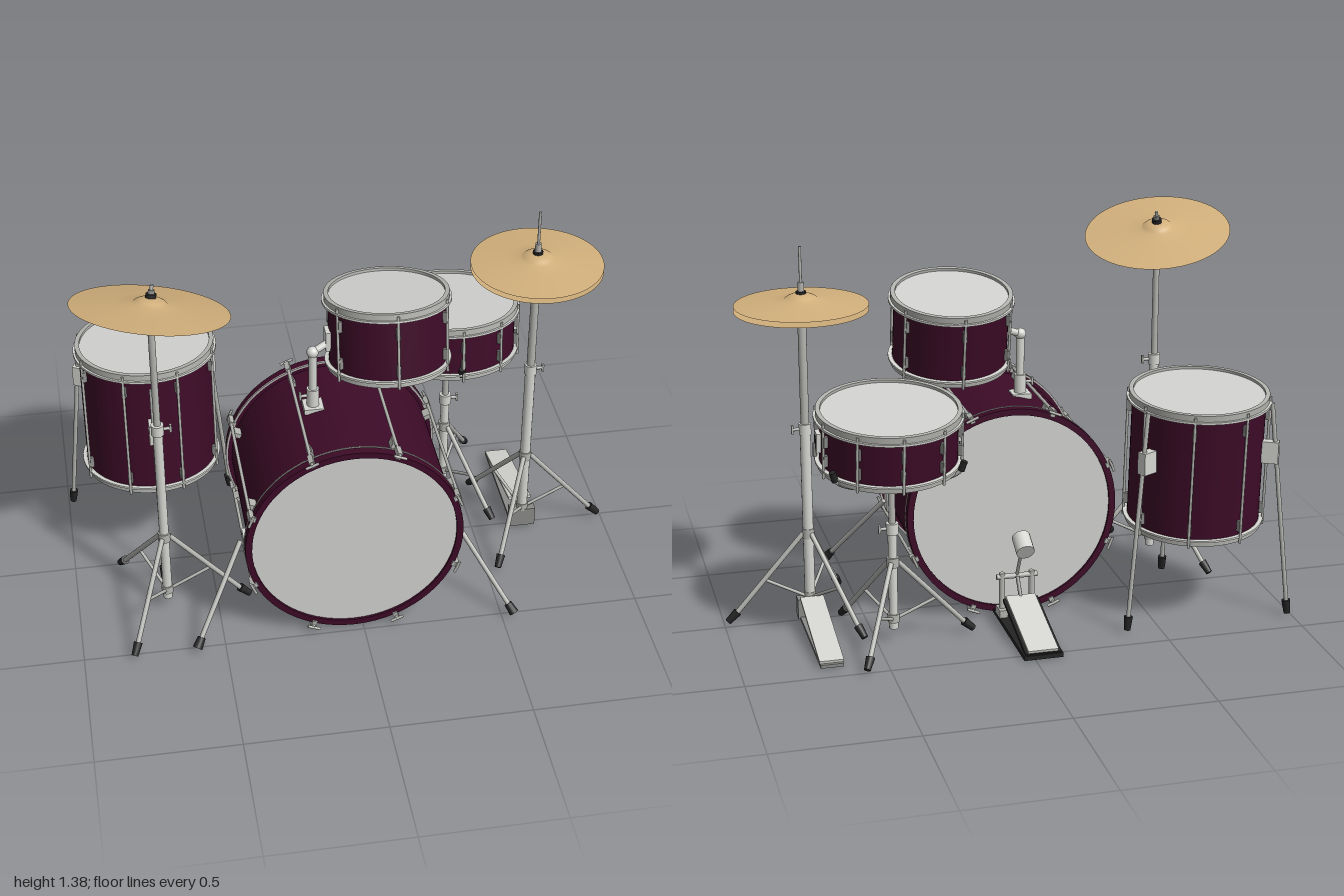
import * as THREE from 'three';

const mat = (name, color, side = THREE.FrontSide) => {
  const m = new THREE.MeshStandardMaterial({ color, side });
  m.name = name;
  return m;
};
const V = (x, y, z) => new THREE.Vector3(x, y, z);
const UP = V(0, 1, 0);

export function createModel() {
  const wine = mat('wine lacquer', 0x3d0b27);
  const skin = mat('drum skin', 0xd2d2d0);
  const chrome = mat('chrome', 0xb4b4b0);
  const steel = mat('dark steel', 0x8a8a88);
  const light = mat('pale metal', 0xd6d6d2);
  const brass = mat('cymbal bronze', 0xd2b07c, THREE.DoubleSide);
  const rubber = mat('black rubber', 0x242424);

  const model = new THREE.Group();
  model.name = 'drumKit';
  const group = (name, parent = model) => {
    const g = new THREE.Group();
    g.name = name;
    parent.add(g);
    return g;
  };
  const add = (parent, name, geo, m, x = 0, y = 0, z = 0) => {
    const mesh = new THREE.Mesh(geo, m);
    mesh.name = name;
    mesh.position.set(x, y, z);
    parent.add(mesh);
    return mesh;
  };
  const box = (p, name, w, h, d, m, x, y, z) => add(p, name, new THREE.BoxGeometry(w, h, d), m, x, y, z);
  // Round bar between two points
  const rod = (p, name, a, b, r, m, r2 = r) => {
    const dir = b.clone().sub(a);
    const mesh = add(p, name, new THREE.CylinderGeometry(r2, r, dir.length(), 14), m);
    mesh.position.copy(a).addScaledVector(dir, 0.5);
    mesh.quaternion.setFromUnitVectors(UP, dir.normalize());
    return mesh;
  };
  const pole = (p, name, y0, y1, r, m = chrome) => rod(p, name, V(0, y0, 0), V(0, y1, 0), r, m);
  // Square-section ring around y
  const ring = (p, name, ri, ro, y0, y1, m) => add(p, name, new THREE.LatheGeometry(
    [[ri, y0], [ro, y0], [ro, y0], [ro, y1], [ro, y1], [ri, y1], [ri, y1], [ri, y0]].map(q => new THREE.Vector2(...q)), 64), m);
  const polar = (r, a, y) => V(r * Math.cos(a), y, r * Math.sin(a));

  // Upright drum, from y = 0 to y = H, with tension rods
  function drum(name, R, H, n, phase) {
    const g = group(name);
    add(g, 'shell', new THREE.CylinderGeometry(R, R, H - 0.02, 64, 1, true), wine, 0, H / 2, 0);
    add(g, 'topHead', new THREE.CylinderGeometry(R + 0.004, R + 0.004, 0.01, 64), skin, 0, H - 0.015, 0);
    add(g, 'bottomHead', new THREE.CylinderGeometry(R, R, 0.01, 64), skin, 0, 0.009, 0);
    ring(g, 'topHoop', R - 0.004, R + 0.012, H - 0.03, H, chrome);
    ring(g, 'topHoopFlange', R + 0.005, R + 0.02, H - 0.03, H - 0.022, light);
    ring(g, 'bottomHoop', R - 0.004, R + 0.008, 0, 0.024, chrome);
    ring(g, 'bottomHoopFlange', R + 0.004, R + 0.016, 0.018, 0.025, light);
    for (let i = 0; i < n; i++) {
      const a = phase + i * 2 * Math.PI / n;
      rod(g, 'tensionRod', polar(R + 0.014, a, -0.004), polar(R + 0.014, a, H - 0.008), 0.005, chrome);
      for (const y of [0.06, H - 0.075]) {
        const lug = box(g, 'lug', 0.018, 0.04, 0.014, steel, 0, 0, 0);
        lug.position.copy(polar(R + 0.006, a, y));
        lug.rotation.y = -a;
      }
    }
    return g;
  }

  // Three braced legs with rubber feet around a pole
  function tripod(g, r, apex, phase) {
    add(g, 'legHub', new THREE.CylinderGeometry(0.022, 0.022, 0.035, 20), chrome, 0, apex, 0);
    add(g, 'braceHub', new THREE.CylinderGeometry(0.021, 0.021, 0.03, 20), chrome, 0, 0.09, 0);
    for (let i = 0; i < 3; i++) {
      const a = phase + i * 2 * Math.PI / 3;
      const top = polar(0.018, a, apex), foot = polar(r, a, 0.02);
      rod(g, 'leg', top, foot, 0.009, chrome);
      rod(g, 'legBrace', polar(0.018, a, 0.09), top.clone().lerp(foot, 0.53), 0.006, chrome);
      rod(g, 'foot', top.clone().lerp(foot, 0.9), polar(r + 0.008, a, 0.017), 0.016, rubber, 0.012);
    }
  }
  const wingNut = (g, y, side) => {
    add(g, 'collar', new THREE.CylinderGeometry(0.022, 0.022, 0.04, 20), light, 0, y, 0);
    rod(g, 'wingBolt', V(0, y, 0), V(side * 0.045, y, 0), 0.006, chrome);
    box(g, 'wingNut', 0.008, 0.03, 0.012, chrome, side * 0.045, y, 0);
  };
  const cymbal = (p, name, R, h, bell) => add(p, name, new THREE.LatheGeometry(
    [[R, 0], [R * 0.75, h * 0.17], [R * 0.45, h * 0.36], [bell, h * 0.5], [bell * 0.82, h * 0.72], [bell * 0.5, h * 0.93], [0.004, h]]
      .map(q => new THREE.Vector2(...q)), 64), brass);

  // Bass drum, lying along z
  const bass = group('bassDrum');
  bass.position.set(-0.03, 0.387, -0.115);
  bass.rotation.x = Math.PI / 2;
  const L = 0.588;
  add(bass, 'bassShell', new THREE.CylinderGeometry(0.365, 0.365, L - 0.03, 80, 1, true), wine, 0, L / 2, 0);
  for (const [y0, y1, yh, s] of [[0, 0.034, 0.014, -1], [L - 0.034, L, L - 0.014, 1]]) {
    ring(bass, 'bassHoop', 0.362, 0.385, y0, y1, wine);
    ring(bass, 'hoopInlay', 0.38, 0.387, (y0 + y1) / 2 - s * 0.017 - 0.003, (y0 + y1) / 2 - s * 0.017 + 0.003, chrome);
    add(bass, 'bassHead', new THREE.CylinderGeometry(0.363, 0.363, 0.01, 80), skin, 0, yh, 0);
  }
  for (let i = 0; i < 8; i++) {
    const a = (i + 0.5) * Math.PI / 4;
    rod(bass, 'bassRod', polar(0.393, a, -0.02), polar(0.393, a, L + 0.02), 0.006, chrome);
    for (const y of [-0.018, L + 0.018]) {
      const t = V(-Math.sin(a), 0, Math.cos(a)).multiplyScalar(0.024), c = polar(0.393, a, y);
      rod(bass, 'rodHandle', c.clone().sub(t), c.clone().add(t), 0.005, chrome);
    }
    for (const [y, r, h] of [[0.016, 0.388, 0.045], [L - 0.016, 0.388, 0.045], [0.085, 0.377, 0.04], [L - 0.085, 0.377, 0.04]]) {
      const c = box(bass, 'claw', 0.026, h, 0.018, chrome, 0, 0, 0);
      c.position.copy(polar(r, a, y));
      c.rotation.y = -a;
    }
  }
  // Spurs on both sides
  for (const s of [-1, 1]) {
    const g = group('spur');
    g.position.x = -0.03;
    box(g, 'spurPlate', 0.03, 0.07, 0.055, light, s * 0.362, 0.31, 0.313);
    const a = V(s * 0.385, 0.31, 0.31), b = V(s * 0.572, 0.02, 0.525);
    rod(g, 'spurLeg', a, b, 0.009, chrome);
    rod(g, 'spurFoot', a.clone().lerp(b, 0.9), b, 0.014, rubber, 0.018);
  }

  // Rack tom and its mount
  const tom = drum('rackTom', 0.205, 0.272, 6, Math.PI / 2);
  tom.position.set(0.142, 0.893, 0.13);
  tom.rotation.x = -0.18;
  const mount = group('tomMount');
  mount.position.set(-0.125, 0, 0.14);
  box(mount, 'mountBase', 0.07, 0.02, 0.07, light, 0, 0.742, 0);
  add(mount, 'mountCollar', new THREE.CylinderGeometry(0.022, 0.022, 0.07, 20), light, 0, 0.785, 0);
  wingNut(mount, 0.79, -1);
  pole(mount, 'mountPost', 0.74, 0.97, 0.015, light);
  add(mount, 'elbow', new THREE.SphereGeometry(0.021, 20, 14), light, 0, 0.972, 0);
  rod(mount, 'mountArm', V(0, 0.972, 0), V(0.07, 1.0, -0.02), 0.013, light);
  box(mount, 'tomBracket', 0.03, 0.075, 0.05, light, 0.062, 1.005, -0.025);

  // Floor tom with three legs
  const floorTom = drum('floorTom', 0.237, 0.497, 8, Math.PI / 8);
  floorTom.position.set(-0.68, 0.335, -0.203);
  floorTom.rotation.x = -0.07;
  const legs = group('floorTomLegs');
  legs.position.set(-0.68, 0, -0.23);
  for (const deg of [90, -29, -151]) {
    const a = deg * Math.PI / 180;
    rod(legs, 'floorTomLeg', polar(0.262, a, 0.8), polar(0.345, a, 0.03), 0.008, chrome);
    rod(legs, 'floorTomFoot', polar(0.341, a, 0.06), polar(0.347, a, 0.01), 0.016, rubber, 0.012);
    const b = box(legs, 'legBracket', 0.06, 0.08, 0.035, light, 0, 0, 0);
    b.position.copy(polar(0.262, a, 0.62));
    b.rotation.y = -a;
  }

  // Snare drum with strainer and wires
  const snare = drum('snareDrum', 0.238, 0.205, 10, Math.PI / 2);
  snare.position.set(0.445, 0.663, -0.245);
  snare.rotation.x = -0.11;
  for (const s of [-1, 1]) {
    box(snare, 'strainerPlate', 0.02, 0.07, 0.042, light, s * 0.243, 0.1, 0);
    box(snare, 'strainerSlot', 0.006, 0.045, 0.018, rubber, s * 0.252, 0.1, 0);
    box(snare, 'strainerLever', 0.014, 0.05, 0.01, steel, s * 0.255, 0.07, 0);
  }
  for (let i = 0; i < 14; i++) box(snare, 'snareWire', 0.36, 0.004, 0.005, steel, 0, 0.002, (i - 6.5) * 0.012);

  // Snare stand and basket
  const snareStand = group('snareStand');
  snareStand.position.set(0.44, 0, -0.262);
  pole(snareStand, 'lowerTube', 0.05, 0.42, 0.016, light);
  pole(snareStand, 'upperTube', 0.4, 0.6, 0.012);
  wingNut(snareStand, 0.425, 1);
  tripod(snareStand, 0.28, 0.3, Math.PI / 3);
  box(snareStand, 'basketHub', 0.045, 0.04, 0.045, light, 0, 0.595, 0.01);
  for (const deg of [90, -30, 210]) {
    const a = deg * Math.PI / 180, k = 0.11 * Math.sin(a);
    const pts = [[0, 0.6], [0.1, 0.605], [0.19, 0.635], [0.25, 0.675], [0.262, 0.71]].map(([r, y]) => polar(r, a, y + k * r));
    add(snareStand, 'basketArm', new THREE.TubeGeometry(new THREE.CatmullRomCurve3(pts), 20, 0.007, 8), chrome);
    rod(snareStand, 'basketGrip', pts[3], pts[4], 0.012, rubber);
  }

  // Crash cymbal on its stand
  const crash = group('crashStand');
  crash.position.set(-0.68, 0, 0.265);
  pole(crash, 'lowerTube', 0.05, 0.8, 0.017, light);
  pole(crash, 'upperTube', 0.78, 1.25, 0.012);
  wingNut(crash, 0.8, 1);
  add(crash, 'tilter', new THREE.CylinderGeometry(0.02, 0.02, 0.05, 20), light, 0, 1.245, 0);
  tripod(crash, 0.29, 0.33, -0.02);
  const tilt = group('tiltedCymbal', crash);
  tilt.position.set(0, 1.287, -0.002);
  tilt.quaternion.setFromUnitVectors(UP, V(0.16, 1, -0.265).normalize());
  cymbal(tilt, 'crashCymbal', 0.267, 0.043, 0.06);
  pole(tilt, 'cymbalBolt', -0.03, 0.085, 0.006);
  pole(tilt, 'cymbalFelt', 0.038, 0.055, 0.018, rubber);
  pole(tilt, 'cymbalNut', 0.055, 0.068, 0.011, steel);

  // Hi-hat
  const hat = group('hiHat');
  hat.position.set(0.69, 0, 0.01);
  pole(hat, 'lowerTube', 0.03, 0.72, 0.019, light);
  pole(hat, 'upperTube', 0.7, 1.1, 0.015);
  pole(hat, 'pullRod', 1.0, 1.375, 0.005);
  pole(hat, 'seatCup', 1.095, 1.118, 0.02, rubber);
  pole(hat, 'clutchFelt', 1.2, 1.218, 0.018, rubber);
  pole(hat, 'clutch', 1.218, 1.25, 0.011);
  wingNut(hat, 0.72, 1);
  tripod(hat, 0.29, 0.33, 0);
  cymbal(hat, 'topHat', 0.233, 0.04, 0.06).position.y = 1.171;
  const low = cymbal(hat, 'bottomHat', 0.233, 0.038, 0.06);
  low.position.y = 1.152;
  low.rotation.x = Math.PI;
  box(hat, 'pedalFrame', 0.095, 0.075, 0.04, steel, 0, 0.045, 0);
  box(hat, 'pedalBase', 0.08, 0.012, 0.44, steel, 0, 0.008, -0.22);
  const hatBoard = box(hat, 'footboard', 0.085, 0.01, 0.4, light, 0, 0.058, -0.235);
  hatBoard.rotation.x = -0.19;

  // Bass drum pedal
  const pedal = group('bassPedal');
  pedal.position.x = -0.03;
  box(pedal, 'pedalBase', 0.14, 0.016, 0.46, rubber, 0, 0.009, -0.312);
  const board = box(pedal, 'footboard', 0.108, 0.01, 0.32, light, 0, 0.067, -0.38);
  board.rotation.x = -0.25;
  const under = box(pedal, 'footboardFrame', 0.128, 0.012, 0.32, rubber, 0, 0.056, -0.38);
  under.rotation.x = -0.25;
  for (const s of [-1, 1]) {
    rod(pedal, 'pedalPost', V(s * 0.055, 0.01, -0.175), V(s * 0.055, 0.18, -0.175), 0.011, chrome);
    box(pedal, 'postFoot', 0.03, 0.03, 0.06, chrome, s * 0.055, 0.03, -0.175);
  }
  rod(pedal, 'axle', V(-0.075, 0.165, -0.175), V(0.075, 0.165, -0.175), 0.01, chrome);
  rod(pedal, 'beaterRod', V(0, 0.165, -0.175), V(0, 0.32, -0.26), 0.006, chrome);
  rod(pedal, 'driveChain', V(0, 0.165, -0.185), V(0, 0.105, -0.23), 0.007, steel);
  rod(pedal, 'beater', V(0, 0.3, -0.295), V(0, 0.335, -0.23), 0.033, light);

  return model;
}
